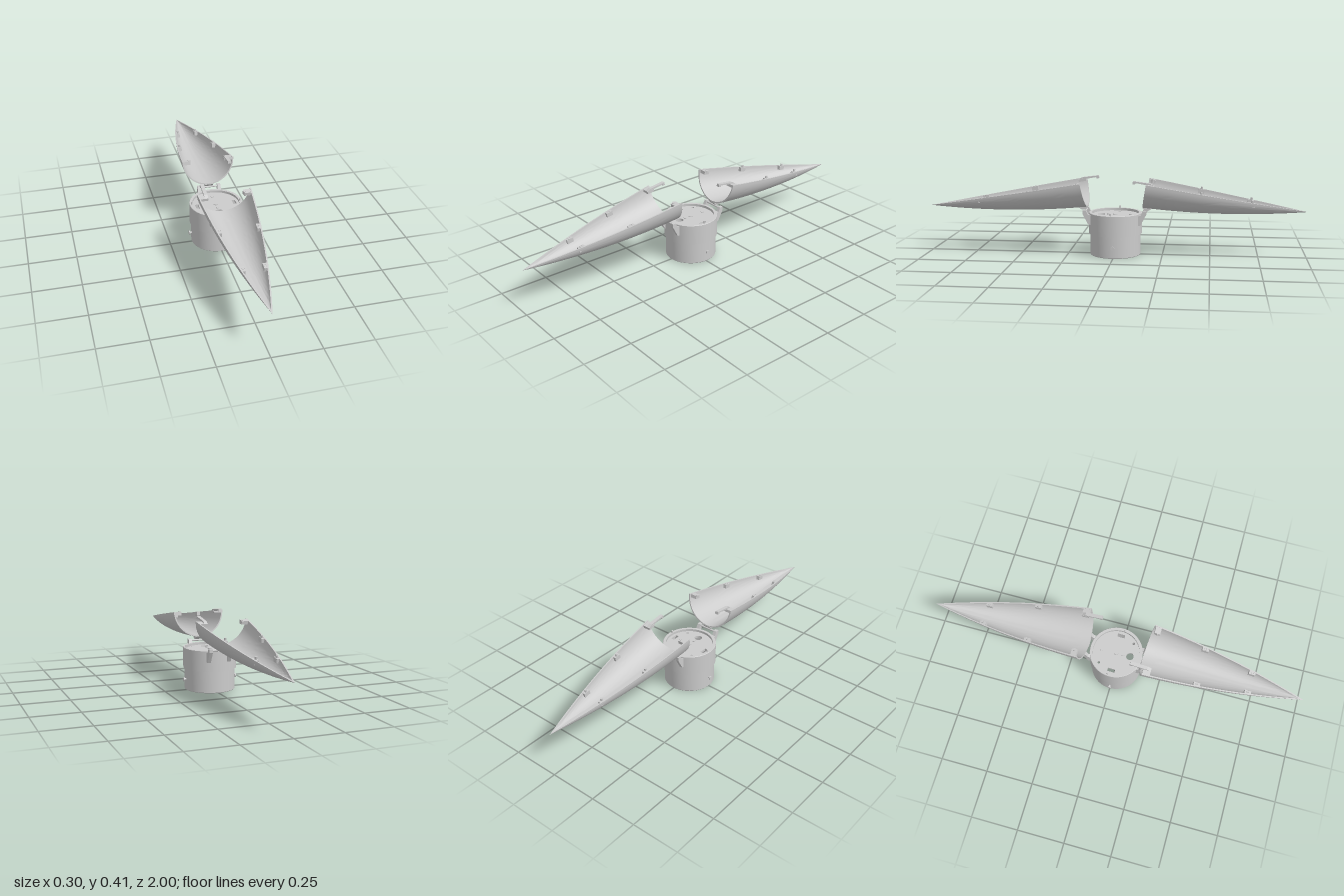
import * as THREE from 'three';
import { toCreasedNormals } from 'three/addons/utils/BufferGeometryUtils.js';

const material = new THREE.MeshStandardMaterial({ color: 0xcccccc, side: THREE.DoubleSide });
const V = (x, y) => new THREE.Vector2(x, y);

function add(parent, name, geometry, x = 0, y = 0, z = 0) {
  const mesh = new THREE.Mesh(geometry, material);
  mesh.name = name;
  mesh.position.set(x, y, z);
  parent.add(mesh);
  return mesh;
}
const box = (w, h, d) => new THREE.BoxGeometry(w, h, d);
const rod = (r, l, n = 20) => new THREE.CylinderGeometry(r, r, l, n);
const rodX = (r, l) => rod(r, l).rotateZ(Math.PI / 2);
const lathe = (pts, n, start = 0, sweep = Math.PI * 2) =>
  toCreasedNormals(new THREE.LatheGeometry(pts, n, start, sweep), 0.5);

// Side outline given as [z, y] points, extruded across x
function sideProfile(points, width) {
  const shape = new THREE.Shape(points.map(([z, y]) => V(z, y)));
  return new THREE.ExtrudeGeometry(shape, { depth: width, bevelEnabled: false })
    .rotateY(-Math.PI / 2).translate(width / 2, 0, 0);
}

const LENGTH = 0.843, RADIUS = 0.14, WALL = 0.007;
const ogive = (s, r, l) => r * (1 - s / l) * (1 + 0.6 * s / l);

// Half of a pointed nose shell, open side up, tip along +z
function makeShell(withPegs) {
  const shell = new THREE.Group();
  const outer = [], inner = [], steps = 28;
  const innerLength = LENGTH - 0.025;
  for (let i = 0; i <= steps; i++) {
    const t = i / steps;
    outer.push(V(ogive(t * LENGTH, RADIUS, LENGTH), t * LENGTH));
    inner.push(V(ogive(t * innerLength, RADIUS - WALL, innerLength), t * innerLength));
  }
  const wall = [...inner.reverse(), ...outer];
  add(shell, 'noseShell', lathe(wall, 40, -Math.PI / 2, Math.PI).rotateX(Math.PI / 2));

  for (const side of [-1, 1]) {
    // Flat rim closing the cut edge
    const rim = new THREE.Shape(wall.map(p => V(p.x * side, p.y)));
    add(shell, 'shellRim', new THREE.ShapeGeometry(rim).rotateX(Math.PI / 2));
    // Alignment blocks along the rim, with pegs on one shell and sockets on the other
    for (const s of [0.285, 0.55]) {
      const x = side * (ogive(s, RADIUS, LENGTH) - 0.014);
      add(shell, 'alignmentBlock', box(0.019, 0.022, 0.034), x, -0.0115, s);
      if (withPegs) add(shell, 'alignmentPeg', rod(0.006, 0.016), x - side * 0.002, 0.004, s);
      else add(shell, 'alignmentSocket', new THREE.TorusGeometry(0.006, 0.0015, 6, 16)
        .rotateX(Math.PI / 2), x - side * 0.002, 0, s);
    }
  }

  // Latch arm with a hooked end, reaching past the shell's base
  add(shell, 'latchBlock', box(0.046, 0.014, 0.04), -0.113, -0.008, 0.022);
  add(shell, 'latchArm', sideProfile(
    [[0.04, -0.001], [0.02, 0.007], [-0.07, 0.003], [-0.07, -0.012], [-0.057, -0.012],
      [-0.055, -0.004], [0, -0.004], [0.01, -0.012], [0.04, -0.012]], 0.018), -0.1, 0, 0);
  // Catch that receives the other shell's latch
  add(shell, 'latchCatch', box(0.036, 0.018, 0.03), 0.114, -0.01, 0.022);
  add(shell, 'catchPin', rod(0.008, 0.02), 0.1, -0.008, 0.022);

  // Hinge knuckle under the base
  add(shell, 'hingeKnuckle', sideProfile(
    [[0.035, -0.132], [-0.002, -0.133], [-0.002, -0.14], [0.012, -0.152], [0.03, -0.15], [0.045, -0.138]],
    0.045));

  shell.position.set(0, 0.39, 0.17);
  shell.rotation.x = Math.PI / 18;
  return shell;
}

// Hinge posts and pin on the front of the body
function makeHinge() {
  const hinge = new THREE.Group();
  for (const x of [-0.055, 0.055]) {
    add(hinge, 'hingePost', sideProfile(
      [[0.125, 0.165], [0.137, 0.165], [0.167, 0.222], [0.167, 0.241], [0.15, 0.241], [0.138, 0.218], [0.125, 0.215]],
      0.018), x);
  }
  add(hinge, 'hingePin', rodX(0.005, 0.12), 0, 0.232, 0.157);
  return hinge;
}

function makeBody() {
  const body = new THREE.Group();
  body.name = 'body';
  // Stepped hollow tube, open below
  add(body, 'bodyTube', lathe([V(0.122, 0), V(0.131, 0), V(0.133, 0.003), V(0.133, 0.115),
    V(0.14, 0.115), V(0.14, 0.223), V(0.138, 0.225), V(0.124, 0.225), V(0.124, 0.195),
    V(0.122, 0.195), V(0.122, 0)], 72));

  // Recessed deck with through holes and side slots
  const deck = new THREE.Shape().absarc(0, 0, 0.126, 0, Math.PI * 2);
  const holes = [[0, -0.075, 0.02], [0.075, -0.075, 0.007], [-0.075, 0.075, 0.007]];
  for (const [x, y, r] of holes) deck.holes.push(new THREE.Path().absarc(x, y, r, 0, Math.PI * 2, true));
  for (const x of [-0.1, 0.1]) {
    deck.holes.push(new THREE.Path([V(x - 0.009, -0.02), V(x - 0.009, 0.02), V(x + 0.009, 0.02), V(x + 0.009, -0.02)]));
  }
  add(body, 'deck', new THREE.ExtrudeGeometry(deck, { depth: 0.012, bevelEnabled: false, curveSegments: 32 })
    .rotateX(-Math.PI / 2), 0, 0.2, 0);
  for (const [z, r] of [[0, 0.012], [-0.08, 0.009], [0.037, 0.008]]) add(body, 'deckBoss', rod(r, 0.006), 0, 0.213, z);

  for (const side of [-1, 1]) {
    // Rim pegs, side knobs and the inner supports behind them
    add(body, 'rimPeg', rod(0.004, 0.026), side * 0.128, 0.225, side * 0.012);
    add(body, 'knobShaft', rodX(0.005, 0.03), side * 0.13, 0.057, 0);
    add(body, 'knobDisc', rodX(0.0105, 0.006), side * 0.145, 0.057, 0);
    add(body, 'innerSupport', box(0.012, 0.085, 0.05), side * 0.114, 0.065, 0);
    for (const z of [-0.027, 0.027]) add(body, 'slotWall', box(0.03, 0.06, 0.006), side * 0.105, 0.172, z);
  }
  return body;
}

export function createModel() {
  const model = new THREE.Group();
  model.name = 'splitNoseCone';
  model.add(makeBody());
  // Front and back halves repeat under a half turn
  ['front', 'back'].forEach((name, i) => {
    const half = new THREE.Group();
    half.name = name + 'Half';
    const shell = makeShell(i === 1), hinge = makeHinge();
    shell.name = name + 'Shell';
    hinge.name = name + 'Hinge';
    half.add(shell, hinge);
    half.rotation.y = i * Math.PI;
    model.add(half);
  });
  return model;
}
